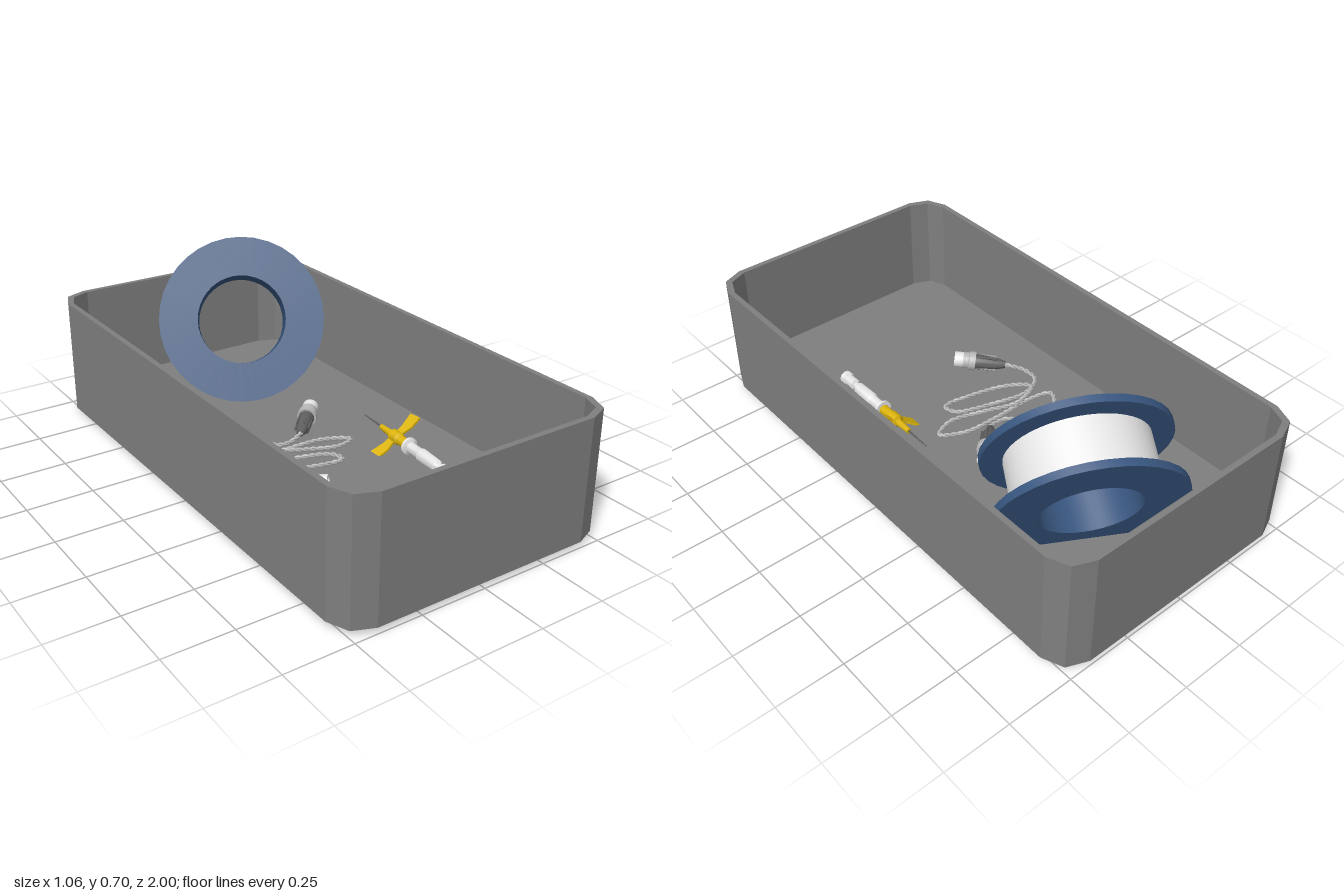
import * as THREE from 'three';
import { toCreasedNormals } from 'three/addons/utils/BufferGeometryUtils.js';

const material = (name, color, extra = {}) => {
  const m = new THREE.MeshStandardMaterial({ color, ...extra });
  m.name = name;
  return m;
};
const UP = new THREE.Vector3(0, 1, 0);
const vec = (p) => new THREE.Vector3(...p);

// Rectangle whose corners are each rounded in two straight steps
function roundedRect(Type, w, d, r) {
  const points = [];
  for (let corner = 0; corner < 4; corner++) {
    const cx = (corner === 0 || corner === 3 ? 1 : -1) * (w - r);
    const cy = (corner < 2 ? 1 : -1) * (d - r);
    for (let i = 0; i <= 2; i++) {
      const a = (corner + i / 2) * Math.PI / 2;
      points.push(new THREE.Vector2(cx + r * Math.cos(a), cy + r * Math.sin(a)));
    }
  }
  return new Type(points);
}

// Turned part: profile of [radius, height] pairs
function turned(profile, sides) {
  const points = profile.map(([r, y]) => new THREE.Vector2(r, y));
  return toCreasedNormals(new THREE.LatheGeometry(points, sides), 0.6);
}

// One strand of a twisted pair wound around a curve
function strand(curve, phase) {
  const steps = 400, turns = 45, offset = 0.0045;
  const { normals, binormals } = curve.computeFrenetFrames(steps);
  const points = curve.getSpacedPoints(steps).map((p, i) => {
    const a = phase + turns * 2 * Math.PI * i / steps;
    return p.addScaledVector(normals[i], offset * Math.cos(a)).addScaledVector(binormals[i], offset * Math.sin(a));
  });
  return new THREE.TubeGeometry(new THREE.CatmullRomCurve3(points), 600, 0.005, 6);
}

export function createModel() {
  const grey = material('tray grey', 0x7f7f7f);
  const blue = material('spool blue', 0x38567f);
  const white = material('white', 0xf2f2f2);
  const silver = material('cable silver', 0xb8b8b8);
  const dark = material('dark grey', 0x606060);
  const yellow = material('yellow', 0xdcb40c, { side: THREE.DoubleSide });

  const model = new THREE.Group();
  const add = (parent, name, geometry, mat) => {
    const mesh = new THREE.Mesh(geometry, mat);
    mesh.name = name;
    parent.add(mesh);
    return mesh;
  };
  // Group whose +y runs along the given direction
  const aligned = (name, origin, direction) => {
    const group = new THREE.Group();
    group.name = name;
    group.position.copy(origin);
    group.quaternion.setFromUnitVectors(UP, direction.clone().normalize());
    model.add(group);
    return group;
  };

  // Tray: wall ring and thick floor
  const wallShape = roundedRect(THREE.Shape, 0.528, 1, 0.11);
  wallShape.holes.push(roundedRect(THREE.Path, 0.507, 0.979, 0.1));
  const upright = (shape, depth) =>
    new THREE.ExtrudeGeometry(shape, { depth, bevelEnabled: false }).rotateX(-Math.PI / 2);
  add(model, 'trayWall', upright(wallShape, 0.453), grey).position.y = 0.022;
  add(model, 'trayFloor', upright(roundedRect(THREE.Shape, 0.507, 0.979, 0.1), 0.058), grey).position.y = 0.022;

  // Tilted spool with an open bore, and its winding
  const spool = aligned('spool', vec([0.11, 0.352, -0.627]), vec([-0.457, 0.389, 0.8]));
  const R = 0.33, bore = 0.176, core = 0.2, h = 0.1245, t = 0.028;
  add(spool, 'spoolBody', turned([[bore, -h], [R, -h], [R, t - h], [core, t - h],
    [core, h - t], [R, h - t], [R, h], [bore, h], [bore, -h]], 36), blue);
  add(spool, 'winding', turned([[0.252, t - h], [0.252, h - t]], 48), white);

  // Twisted cable coiled on the floor
  const path = [[0.01, 0.115, -0.03], [-0.05, 0.1, -0.012], [-0.1, 0.095, -0.02], [-0.14, 0.095, -0.09],
    [-0.2, 0.098, -0.108], [-0.28, 0.098, -0.08], [-0.33, 0.095, -0.01], [-0.26, 0.091, 0.018],
    [-0.08, 0.091, 0.018], [0.07, 0.091, 0.028], [0.155, 0.091, 0.08], [0.08, 0.095, 0.11],
    [-0.05, 0.1, 0.07], [-0.18, 0.108, 0.02], [-0.29, 0.108, 0.06], [-0.24, 0.095, 0.13],
    [-0.08, 0.091, 0.185], [0.035, 0.091, 0.195], [0.025, 0.091, 0.145], [-0.1, 0.091, 0.095],
    [-0.26, 0.091, 0.06], [-0.345, 0.091, 0.1], [-0.35, 0.095, 0.165], [-0.29, 0.115, 0.235]];
  const curve = new THREE.CatmullRomCurve3(path.map(vec));
  for (const phase of [0, Math.PI]) add(model, 'cableStrand', strand(curve, phase), silver);

  // A plug on each end of the cable: tapered ribbed sleeve, collar and barrel
  const plugs = [['backPlug', [0, 0.11, -0.03], [0.145, 0.13, -0.172]],
    ['frontPlug', [-0.3, 0.11, 0.23], [-0.155, 0.13, 0.37]]];
  for (const [name, from, to] of plugs) {
    const a = vec(from), plug = aligned(name, a, vec(to).sub(a));
    add(plug, 'sleeve', turned([[0, 0], [0.014, 0], [0.024, 0.04], [0.03, 0.11], [0.03, 0.13], [0, 0.13]], 12), dark);
    for (let i = 0; i < 6; i++) {
      const angle = i * Math.PI / 3;
      const rib = add(plug, 'gripRib', new THREE.BoxGeometry(0.008, 0.075, 0.008), dark);
      rib.position.set(0.027 * Math.cos(angle), 0.075, 0.027 * Math.sin(angle));
      rib.rotation.y = -angle;
    }
    add(plug, 'collar', turned([[0, 0.12], [0.038, 0.12], [0.038, 0.145], [0.033, 0.148], [0.033, 0.17], [0, 0.17]], 16), silver);
    add(plug, 'barrel', turned([[0.031, 0.17], [0.031, 0.205], [0.025, 0.205], [0.025, 0.172], [0, 0.172]], 16), white);
  }

  // Winged needle: +y runs from the needle tip to the tail
  const needle = aligned('wingedNeedle', vec([0.265, 0.137, 0.02]), vec([-0.025, -0.018, 0.55]));
  add(needle, 'needleShaft', new THREE.CylinderGeometry(0.0045, 0.002, 0.13, 8), dark).position.y = 0.065;
  add(needle, 'hub', turned([[0, 0.11], [0.01, 0.11], [0.014, 0.18], [0.024, 0.185], [0.024, 0.225],
    [0.019, 0.23], [0.019, 0.28], [0, 0.28]], 14), yellow);
  add(needle, 'body', turned([[0, 0.28], [0.033, 0.28], [0.033, 0.29], [0.02, 0.295], [0.02, 0.35],
    [0.025, 0.36], [0.022, 0.455], [0.013, 0.465], [0.013, 0.475], [0.022, 0.48], [0.02, 0.525],
    [0.026, 0.53], [0.026, 0.55], [0, 0.55]], 16), white);

  // Two wings flaring outward, rolled so that the right one touches down
  const wings = new THREE.Group();
  wings.name = 'wings';
  wings.position.y = 0.2;
  wings.rotation.y = Math.PI / 6;
  needle.add(wings);
  for (const s of [1, -1]) {
    const outline = [[0.01, -0.014], [0.045, -0.014], [0.105, -0.03], [0.112, 0.02], [0.06, 0.026], [0.01, 0.014]]
      .map(([x, y]) => new THREE.Vector2(s * x, y));
    const plate = new THREE.ExtrudeGeometry(new THREE.Shape(outline), { depth: 0.009, bevelEnabled: false });
    add(wings, s > 0 ? 'leftWing' : 'rightWing', plate.translate(0, 0, -0.0045), yellow);
  }
  return model;
}
